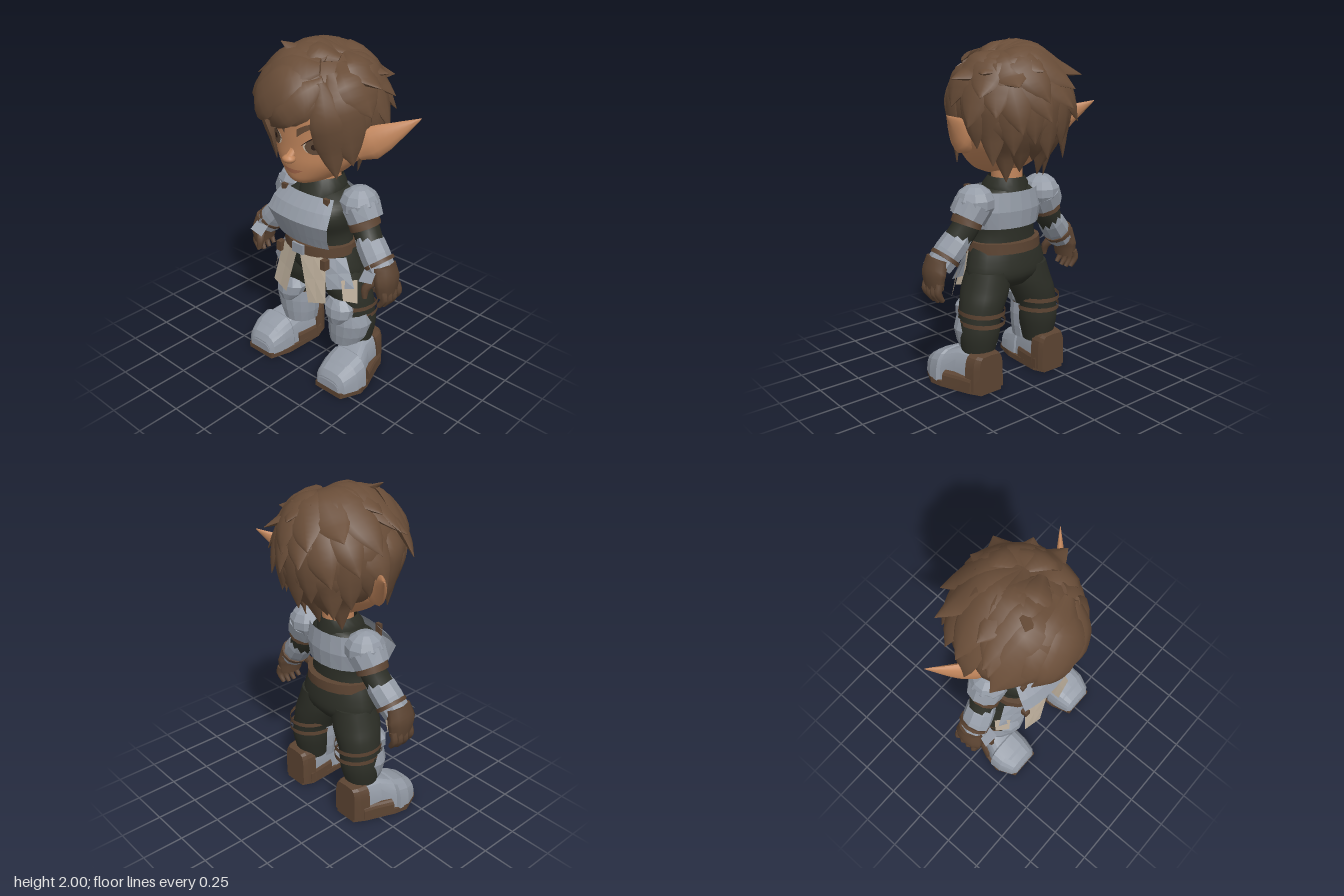
import * as THREE from 'three';
import { mergeVertices, toCreasedNormals } from 'three/addons/utils/BufferGeometryUtils.js';
import { ParametricGeometry } from 'three/addons/geometries/ParametricGeometry.js';

const V = (x, y, z) => new THREE.Vector3(x, y, z);
const FLAT = 0.02, { sin, cos, sqrt, max, min, PI, abs, sign } = Math;

const mat = (name, color) => Object.assign(
  new THREE.MeshStandardMaterial({ color, side: THREE.DoubleSide }), { name });

// surface from a rule p(u, v), welded, then smoothed below the crease angle
function surf(fn, nu, nv, crease = 1) {
  const g = new ParametricGeometry((u, v, t) => t.copy(fn(u, v)), nu, nv);
  g.deleteAttribute('uv');
  g.deleteAttribute('normal');
  return toCreasedNormals(mergeVertices(g, 1e-5), crease);
}

// Catmull-Rom reading of a table of rows
function sample(rows, s) {
  const n = rows.length - 1, i = min(Math.floor(s), n - 1), t = s - i;
  const [a, b, c, d] = [max(i - 1, 0), i, i + 1, min(i + 2, n)].map(k => rows[k]);
  return b.map((_, k) => b[k] + 0.5 * t * (c[k] - a[k] + t * (2 * a[k] - 5 * b[k] + 4 * c[k] - d[k]
    + t * (3 * (b[k] - c[k]) + d[k] - a[k]))));
}

// stacked ellipses, rows of [y, centre x, half width, front z, back z]; arc = [from, to] leaves it open
function loft(rows, { nu = 20, k = 4, crease = 1, arc = null, open = false } = {}) {
  const n = (rows.length - 1) * k, cap = arc || open ? 0 : 1;
  const [a0, a1] = arc || [0, 2 * PI];
  return surf((u, v) => {
    const q = v * (n + 2 * cap) - cap, r = q < -0.5 || q > n + 0.5 ? 0 : 1;
    const [y, cx, w, zf, zb] = sample(rows, min(max(q / k, 0), rows.length - 1));
    const a = a0 + (a1 - a0) * u;
    return V(cx + r * w * sin(a), y, (zf + zb) / 2 + r * (zf - zb) / 2 * cos(a));
  }, nu, n + 2 * cap, crease);
}

// elliptical sections along a curve, sizes of [half width, half thickness]; up faces the thin way
function sweep(pts, sizes, up, { nu = 10, nv = 8, crease = 1 } = {}) {
  const c = new THREE.CatmullRomCurve3(pts.map(p => Array.isArray(p) ? V(...p) : p));
  return surf((u, v) => {
    const q = v * (nv + 2) - 1, s = min(max(q / nv, 0), 1), r = q < -0.5 || q > nv + 0.5 ? 0 : 1;
    const p = c.getPoint(s), T = c.getTangent(s);
    const N = (typeof up === 'function' ? up(p) : V(...up)).projectOnPlane(T).normalize();
    const S = N.clone().cross(T), f = s * (sizes.length - 1), i = min(Math.floor(f), sizes.length - 2);
    const [w, t] = sizes[i].map((x, k) => r * (x + (sizes[i + 1][k] - x) * (f - i)));
    return p.addScaledVector(S, w * cos(u * 2 * PI)).addScaledVector(N, t * sin(u * 2 * PI));
  }, nu, nv + 2, crease);
}

// arched shoe section, rows of [z, centre x, half width, top y] from front to back
function arch(rows, y0, round = 0.7) {
  const n = rows.length - 1, pw = (x, e) => sign(x) * abs(x) ** e;
  return surf((u, v) => {
    const q = Math.round(v * (n + 2)) - 1, r = q < 0 || q > n ? 0 : 1;
    const [z, cx, w, h] = rows[min(max(q, 0), n)];
    return V(cx - r * w * pw(cos(u * PI), round * 0.85), y0 + r * (h - y0) * pw(max(sin(u * PI), 0), round), z);
  }, 10, n + 2, 0.25);
}

const ball = (c, r, nu, nv, crease) => surf((u, v) => {
  const e = (v - 0.5) * PI, a = u * 2 * PI;
  return V(c[0] + r[0] * cos(e) * sin(a), c[1] + r[1] * sin(e), c[2] + r[2] * cos(e) * cos(a));
}, nu, nv, crease);
const quad = (a, b, c, d) => surf((u, v) =>
  V(...a).lerp(V(...b), u).lerp(V(...d).lerp(V(...c), u), v), 2, 2, FLAT);
const box = (p, s) => new THREE.BoxGeometry(...s).translate(...p).toNonIndexed();

// mirror across x and turn the corners back to face outwards
function mirrored(geo) {
  const g = geo.clone().scale(-1, 1, 1);
  for (const a of [g.attributes.position, g.attributes.normal])
    for (let i = 0; i < a.count; i += 3)
      for (let k = 0; k < 3; k++) {
        const t = a.array[i * 3 + k];
        a.array[i * 3 + k] = a.array[(i + 2) * 3 + k];
        a.array[(i + 2) * 3 + k] = t;
      }
  return g;
}

export function createModel() {
  const skin = mat('skin', 0xc2865c), hair = mat('hair', 0x694d38), ink = mat('lashes', 0x2e1f18),
    white = mat('eye white', 0xc9b8a4), iris = mat('iris', 0x614a38), lip = mat('lips', 0xac6c4e),
    steel = mat('steel', 0x949ba6), cloth = mat('dark cloth', 0x2c2e26),
    leather = mat('leather', 0x5c4432), cream = mat('cream cloth', 0xbcae9b);
  const model = new THREE.Group();
  const put = (name, geo, m) => {
    const mesh = new THREE.Mesh(geo, m);
    mesh.name = name;
    model.add(mesh);
  };
  const both = (name, geo, m) => {
    put(name + 'Left', geo, m);
    put(name + 'Right', mirrored(geo), m);
  };

  // head and neck
  const headRows = [[1.24, 0, .055, .22, .04], [1.265, 0, .115, .258, -.04], [1.31, 0, .18, .272, -.12],
    [1.38, 0, .245, .28, -.19], [1.46, 0, .283, .276, -.25], [1.55, 0, .3, .275, -.28],
    [1.66, 0, .3, .27, -.3], [1.8, 0, .25, .22, -.25], [1.88, 0, .1, .1, -.12]];
  put('head', loft(headRows, { nu: 40 }), skin);
  put('neck', loft([[1.14, 0, .09, .1, -.09], [1.32, 0, .085, .1, -.09]], { k: 1 }), skin);
  both('ear', sweep([[.25, 1.45, .03], [.38, 1.53, -.04], [.525, 1.635, -.16]],
    [[.07, .045], [.095, .045], [.075, .032], [.04, .018], [.002, .002]], [.45, 0, 1], { nu: 12, nv: 12 }), skin);
  put('noseBridge', sweep([[0, 1.47, .258], [0, 1.44, .268], [0, 1.405, .302]],
    [[.018, .012], [.022, .018], [.026, .022]], [0, 0, 1]), skin);
  put('noseTip', ball([0, 1.403, .297], [.04, .024, .036], 14, 8), skin);

  // face details laid on the head surface
  const faceZ = (x, y) => {
    let lo = 0, hi = headRows.length - 1;
    for (let i = 0; i < 30; i++) sample(headRows, (lo + hi) / 2)[0] < y ? lo = (lo + hi) / 2 : hi = (lo + hi) / 2;
    const [, , w, zf, zb] = sample(headRows, lo);
    return (zf + zb) / 2 + (zf - zb) / 2 * sqrt(max(0, 1 - (x / w) ** 2));
  };
  const strip = (x0, x1, low, high, off) => surf((u, v) => {
    const x = x0 + (x1 - x0) * u, y = low(u) + (high(u) - low(u)) * v;
    return V(x, y, faceZ(x, y) + off);
  }, 14, 4);
  const disc = (x, y, rx, ry, off) => {
    const h = u => ry * sqrt(max(0, 1 - (2 * u - 1) ** 2));
    return strip(x - rx, x + rx, u => y - h(u), u => y + h(u), off);
  };
  const lid = u => 1.49 + .022 * u + .033 * sin(u * PI);
  both('eyeWhite', disc(.145, 1.487, .068, .04, .004), white);
  both('iris', disc(.14, 1.487, .05, .04, .006), iris);
  both('pupil', disc(.14, 1.49, .015, .016, .008), ink);
  both('lash', strip(.075, .225, lid, u => lid(u) + .004 + .013 * u, .009), ink);
  const brow = u => 1.532 + .065 * sin(u * 2.1);
  both('brow', strip(.045, .212, brow, u => brow(u) + .044 * (1 - u * .75), .009), hair);
  const mouth = u => 1.33 + .014 * (2 * u - 1) ** 2;
  put('mouth', strip(-.075, .075, u => mouth(u) - .016 * sin(u * PI), u => mouth(u) + .01 * sin(u * PI), .004), lip);

  // hair cap, higher over the forehead
  const H = V(-.015, 1.63, 0), R = V(.33, .325, .335);
  put('hairCap', surf((u, v) => {
    const a = u * 2 * PI, f = THREE.MathUtils.smoothstep(cos(a), .15, .75);
    const e0 = Math.asin((1.4 + .31 * f - H.y) / R.y), e = e0 + (PI / 2 - e0) * v;
    return V(H.x + R.x * cos(e) * sin(a), H.y + R.y * sin(e), H.z + R.z * cos(e) * cos(a));
  }, 40, 14), hair);

  // pointed locks hugging the cap
  const lock = (from, tip, w, bulge = 1.03) => {
    const a = V(...from), b = V(...tip);
    const mid = t => a.clone().lerp(b, t).sub(H).normalize().multiply(R).multiplyScalar(bulge).add(H);
    put('hairLock', sweep([a, mid(.33), mid(.68), b],
      [[w * .3, .012], [w * .7, .022], [w, .032], [w * .95, .032], [w * .55, .02], [.002, .002]],
      p => p.clone().sub(H), { nu: 8, nv: 15, crease: 0.9 }), hair);
  };
  const layers = [ // tip height, tip reach, start height, width, bulge, first and last angle, count
    [1.29, .2, 1.72, .085, .98, 2.3, 3.9, 6], [1.4, .315, 1.86, .09, 1, 1.75, 4.4, 9],
    [1.58, .39, 1.93, .105, 1.03, 1.75, 4.55, 8], [1.74, .395, 1.93, .105, 1.06, 1.45, 4.95, 8]];
  layers.forEach(([y, r, y1, w, bulge, a0, a1, n], k) => {
    for (let i = 0; i < n; i++) {
      const a = a0 + (a1 - a0) * i / (n - 1), j = ((i * 7 + k * 3) % 5 - 2) * .01;
      const r1 = R.x * sqrt(1 - ((y1 - H.y) / R.y) ** 2);
      const from = k > 1 ? [.1, 1.93, -.05] : [H.x + r1 * sin(a), y1, r1 * cos(a)];
      lock(from, [H.x + r * sin(a + .12), y + j * 3, (r + j) * cos(a + .12)], w, bulge);
    }
  });
  // fringe swept from the parting, side locks and crown tufts
  [[[.17, 1.84, .22], [-.09, 1.575, .335], .1, 1.1], [[.13, 1.88, .2], [-.24, 1.58, .29], .12, 1.13],
    [[.19, 1.78, .24], [-.05, 1.61, .32], .08, 1.03], [[.16, 1.84, .2], [-.2, 1.6, .29], .11, 1.02],
    [[.1, 1.91, .16], [-.41, 1.65, .17], .13, 1.1], [[.1, 1.93, .1], [-.38, 1.79, .1], .11, 1.06],
    [[.1, 1.93, .04], [-.32, 1.89, .02], .1, 1.04], [[.14, 1.9, .2], [-.31, 1.66, .24], .12, 1.1],
    [[.17, 1.84, .23], [.23, 1.31, .17], .09, 1.03], [[.17, 1.87, .14], [.285, 1.38, .1], .11, 1.01],
    [[.14, 1.9, .05], [.355, 1.65, .04], .13, 1.03], [[-.24, 1.8, .17], [-.225, 1.31, .17], .09, 1.01],
    [[-.22, 1.82, .1], [-.285, 1.38, .1], .11, 1], [[.13, 1.92, .04], [-.16, 1.99, .18], .09, 1.03],
    [[.1, 1.93, -.05], [.3, 1.83, -.16], .1, 1.04], [[.1, 1.92, -.05], [.02, 1.84, -.33], .11, 1.06]
  ].forEach(l => lock(...l));

  // torso, hips and collar
  put('torso', loft([[.82, 0, .22, .18, -.11], [.92, 0, .2, .2, -.11], [1.02, 0, .225, .245, -.115],
    [1.1, 0, .22, .21, -.115], [1.15, 0, .17, .14, -.11], [1.18, 0, .1, .1, -.1]]), cloth);
  put('hips', loft([[.59, 0, .16, .1, -.09], [.66, 0, .265, .16, -.14], [.76, 0, .255, .175, -.135],
    [.86, 0, .22, .17, -.11]]), cloth);
  put('collar', loft([[1.14, 0, .13, .175, -.12], [1.19, 0, .135, .15, -.11], [1.235, 0, .1, .12, -.1]],
    { k: 1, open: true }), cloth);
  put('breastplate', loft([[.875, 0, .265, .23, -.02], [.94, 0, .28, .255, .02], [1.03, 0, .315, .288, .04],
    [1.1, 0, .3, .25, -.02], [1.165, 0, .26, .185, -.06]], { k: 1, nu: 9, crease: FLAT, arc: [-.82, .82] }), steel);
  put('backplate', loft([[.95, 0, .225, .2, -.125], [1.05, 0, .245, .2, -.135], [1.16, 0, .215, .16, -.12]],
    { k: 1, nu: 8, crease: FLAT, arc: [PI - 1.3, PI + 1.3] }), steel);
  both('shoulderStrap', box([.16, 1.135, .175], [.035, .075, .02]), leather);

  // belt, buckle, pouches and skirt plates
  put('belt', loft([[.805, 0, .235, .235, -.15], [.865, 0, .23, .235, -.15]], { k: 1, crease: .6 }), leather);
  put('buckle', box([0, .835, .238], [.085, .06, .015]), steel);
  both('pouch', box([.175, .78, .205], [.035, .06, .04]), leather);
  both('frontFlap', quad([.09, .515, .255], [.21, .55, .235], [.165, .81, .19], [.012, .81, .238]), cream);
  both('hipPlate', quad([.18, .61, .195], [.32, .64, .115], [.235, .8, .09], [.15, .8, .19]), steel);
  both('sideFlap', quad([.275, .56, .16], [.335, .54, .1], [.315, .68, .08], [.25, .68, .15]), cream);

  // legs, knee guards, straps and greaves
  both('leg', loft([[.18, .23, .09, .08, -.1], [.32, .225, .12, .1, -.135], [.42, .215, .125, .11, -.135],
    [.52, .185, .14, .13, -.14], [.6, .155, .145, .15, -.135], [.7, .135, .13, .14, -.125]]), cloth);
  for (const y of [.41, .47])
    both('legStrap', loft([[y - .013, .21, .132, .125, -.17], [y + .013, .21, .132, .125, -.17]],
      { k: 1, open: true }), leather);
  both('greave', loft([[.21, .195, .108, .13, -.09], [.28, .205, .13, .14, -.1], [.36, .212, .142, .145, -.1],
    [.43, .205, .13, .14, -.1]], { k: 1, nu: 10, crease: FLAT, arc: [-1.9, 1.9] }), steel);
  both('kneeGuard', loft([[.37, .2, .04, .165, .09], [.42, .2, .09, .18, .04], [.475, .195, .105, .175, .02],
    [.525, .19, .065, .15, .03]], { k: 1, nu: 10, crease: FLAT }), steel);

  // boots
  both('bootUpper', arch([[.3, .287, .085, .1], [.28, .29, .11, .14], [.2, .297, .137, .19], [.13, .297, .14, .215],
    [.12, .29, .125, .21], [.03, .265, .11, .25], [-.07, .25, .105, .255]], .03), steel);
  both('toeCap', arch([[.303, .287, .08, .085], [.285, .29, .1, .13], [.22, .294, .125, .18]], .035), steel);
  both('bootHeel', arch([[-.06, .25, .112, .24], [-.12, .245, .102, .24], [-.15, .24, .085, .235]], .02, .4), leather);
  both('bootSide', arch([[.085, .288, .138, .11], [-.02, .262, .122, .11], [-.1, .248, .112, .11]], .02, .4), leather);
  const sole = new THREE.Shape([[.19, .302], [.385, .302], [.44, .18], [.425, .1], [.355, -.08], [.315, -.15],
    [.17, -.15], [.14, -.08], [.15, .17]].map(([x, z]) => new THREE.Vector2(x, -z)));
  both('sole', new THREE.ExtrudeGeometry(sole, { depth: .034, bevelEnabled: false }).rotateX(-PI / 2), leather);

  // shoulders and arms
  both('pauldron', ball([.242, 1.11, -.01], [.115, .105, .12], 10, 7, FLAT), steel);
  both('shoulderLame', sweep([[.25, 1.1, -.01], [.292, 1.025, -.005]], [[.11, .12], [.105, .105]], [0, 0, 1],
    { nu: 10, nv: 1, crease: FLAT }), steel);
  both('upperArm', sweep([[.25, 1.1, -.01], [.3, .98, 0], [.36, .89, .02]], [[.08, .08], [.075, .08]], [0, 0, 1]), cloth);
  both('armBand', sweep([[.282, 1.025, 0], [.3, .985, 0]], [[.085, .1], [.085, .1]], [0, 0, 1],
    { nu: 12, nv: 1, crease: .7 }), leather);
  both('bracer', sweep([[.32, .94, .01], [.37, .88, .02], [.46, .77, .04]], [[.065, .08], [.085, .095], [.075, .085]],
    [0, 0, 1], { nu: 9, nv: 3, crease: FLAT }), steel);
  both('bracerBand', sweep([[.418, .825, .025], [.432, .808, .026]], [[.086, .096], [.086, .096]], [0, 0, 1],
    { nu: 12, nv: 1, crease: .7 }), leather);

  // gloves
  both('palm', sweep([[.465, .82, .035], [.492, .74, .04], [.495, .65, .035]], [[.06, .08], [.053, .098], [.038, .08]],
    [0, 0, 1]), leather);
  both('handPlate', quad([.39, .74, .165], [.485, .76, .165], [.47, .82, .1], [.385, .8, .1]), steel);
  for (let i = 0; i < 4; i++) {
    const z = -.035 + i * .042, d = i % 3 ? 0 : .012;
    both('finger', sweep([[.505, .69, z], [.518, .63 + d, z], [.485, .575 + d, z + .005]],
      [[.024, .021], [.023, .021], [.014, .013]], [0, 0, 1], { nu: 7, nv: 6 }), leather);
  }
  both('thumb', sweep([[.46, .75, .1], [.425, .7, .14], [.425, .64, .15]],
    [[.03, .03], [.026, .026], [.015, .015]], [0, 0, 1], { nu: 7, nv: 6 }), leather);
  return model;
}
